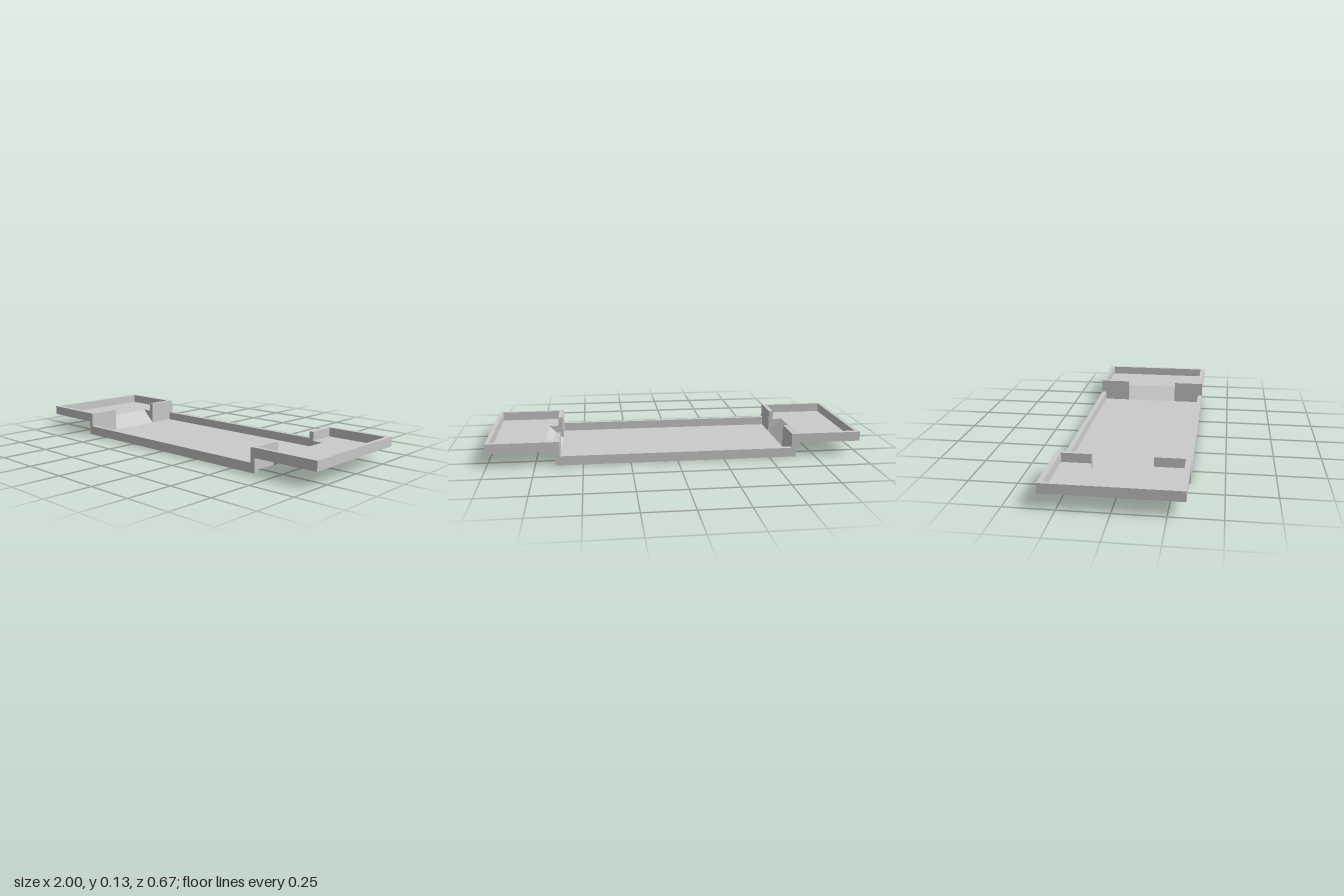
import * as THREE from 'three';

const material = new THREE.MeshStandardMaterial({ color: 0xcccccc, flatShading: true, side: THREE.DoubleSide });

// Heights, then x and z positions shared by the parts
const TOP = 0.128, STEP = 0.077, LOW_RIM = 0.05, DECK = 0.079, FLOOR = 0.003;
const INNER = 0.62, OUTER = 0.645, RAMP = 0.7, END_IN = 0.978, END = 1;
const SIDE_OUT = 0.333, SIDE_IN = 0.307, DOOR = 0.153;

// Thin sheet made of convex polygons, each a loop of [x, y, z] corners
function sheet(name, ...polygons) {
  const positions = [];
  for (const p of polygons) {
    for (let i = 1; i < p.length - 1; i++) positions.push(...p[0], ...p[i], ...p[i + 1]);
  }
  const geometry = new THREE.BufferGeometry();
  geometry.setAttribute('position', new THREE.Float32BufferAttribute(positions, 3));
  geometry.computeVertexNormals();
  const mesh = new THREE.Mesh(geometry, material);
  mesh.name = name;
  return mesh;
}

// Level rectangle facing up
const level = (y, x0, x1, z0, z1) => [[x0, y, z0], [x0, y, z1], [x1, y, z1], [x1, y, z0]];
// Upright rectangle across the model, facing +x
const across = (x, y0, y1, z0, z1) => [[x, y0, z1], [x, y0, z0], [x, y1, z0], [x, y1, z1]];

// Long stepped rim running along one side
function sideRim(z) {
  const right = [[OUTER, 0], [OUTER, STEP], [END, STEP], [END, TOP], [INNER, TOP], [INNER, LOW_RIM]];
  const left = right.map(([x, y]) => [-x, y]).reverse();
  const shape = new THREE.Shape([...right, ...left].map(([x, y]) => new THREE.Vector2(x, y)));
  const geometry = new THREE.ExtrudeGeometry(shape, { depth: SIDE_OUT - SIDE_IN, bevelEnabled: false });
  const mesh = new THREE.Mesh(geometry, material);
  mesh.name = 'sideRim';
  mesh.position.z = z;
  return mesh;
}

// Raised end tray with its divider wall and doorway ramp
function endTray() {
  const tray = new THREE.Group();
  tray.name = 'endTray';

  // Deck, notched around the ramp
  tray.add(sheet('trayFloor',
    level(DECK, RAMP, END_IN, -SIDE_IN, SIDE_IN),
    level(DECK, OUTER, RAMP, -SIDE_IN, -DOOR),
    level(DECK, OUTER, RAMP, DOOR, SIDE_IN)));

  // Hollow end wall, open underneath
  tray.add(sheet('endWall',
    across(END, STEP, TOP, -SIDE_IN, SIDE_IN),
    across(END_IN, DECK, TOP, -SIDE_IN, SIDE_IN).reverse(),
    level(TOP, END_IN, END, -SIDE_IN, SIDE_IN)));

  // Sloped ramp through the doorway
  tray.add(sheet('ramp',
    [[INNER, FLOOR, -DOOR], [INNER, FLOOR, DOOR], [RAMP, DECK, DOOR], [RAMP, DECK, -DOOR]]));

  for (const s of [-1, 1]) {
    const z0 = s * DOOR, z1 = s * SIDE_IN;
    const [a, b] = s > 0 ? [z0, z1] : [z1, z0];

    // Hollow divider wall, with an opening below the deck
    tray.add(sheet('dividerWall',
      across(INNER, FLOOR, TOP, a, b).reverse(),
      across(OUTER, STEP, TOP, a, b),
      [[OUTER, LOW_RIM, z1], [OUTER, STEP, z1], [OUTER, STEP, z0]],
      level(TOP, INNER, OUTER, a, b)));

    // Doorway jamb and triangular cheek beside the ramp
    tray.add(sheet('doorJamb',
      [[INNER, DECK, z0], [OUTER, DECK, z0], [OUTER, TOP, z0], [INNER, TOP, z0]],
      [[INNER, FLOOR, z0], [RAMP, DECK, z0], [INNER, DECK, z0]]));
  }
  return tray;
}

export function createModel() {
  const model = new THREE.Group();
  model.name = 'steppedTray';

  model.add(sideRim(SIDE_IN), sideRim(-SIDE_OUT));
  model.add(sheet('mainFloor', level(FLOOR, -INNER, INNER, -SIDE_IN, SIDE_IN)));

  // Two matching ends
  const leftEnd = endTray();
  const rightEnd = endTray();
  rightEnd.rotation.y = Math.PI;
  model.add(leftEnd, rightEnd);
  return model;
}
